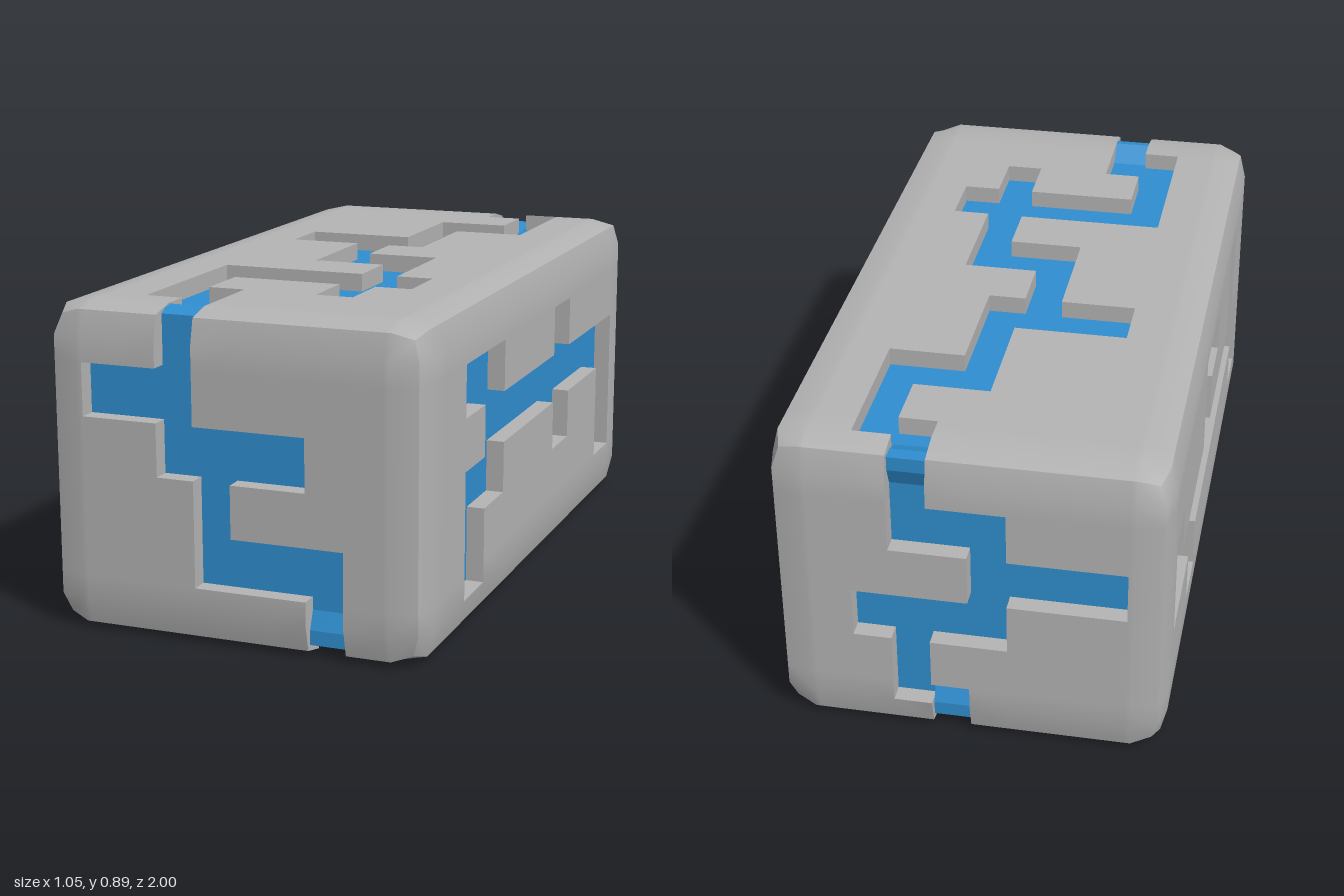
import * as THREE from 'three';
import { toCreasedNormals } from 'three/addons/utils/BufferGeometryUtils.js';

const HALF = [0.525, 0.445, 1];
const MID = [0, 0.445, 0];
const BEVEL = 0.09, DROP = 0.0175, DEPTH = 0.05;

// Grid lines along each axis, where the channels may turn
const mirror = (list, mid) => [...list.map(v => mid - v).reverse(), mid, ...list.map(v => mid + v)];
const LINES = [
  mirror([0.104, 0.208, 0.312, 0.42, 0.435, 0.525], 0),
  mirror([0.145, 0.29, 0.355, 0.445], 0.445),
  mirror([0.165, 0.33, 0.5, 0.665, 0.83, 0.91, 1], 0),
];

// Channels per face as walks over grid cells: start u, start v, then the next v, u, v, u...
const FACES = [
  { axis: 2, sign: 1, walks: [[4, 7, 4, 5, 2, 8, 0], [2, 5, 5, 4], [4, 4, 4, 7]] },
  { axis: 2, sign: -1, walks: [[7, 7, 5, 5, 3, 7, 1, 6, 0], [2, 4, 4, 5], [7, 3, 3, 8]] },
  { axis: 0, sign: 1, walks: [[10, 5, 5, 9, 3, 10, 1], [9, 4, 4, 2, 2], [5, 5, 3]] },
  { axis: 0, sign: -1, walks: [[2, 4, 3, 11, 2], [6, 3, 5, 7], [10, 3, 5], [4, 3, 2]] },
  { axis: 1, sign: 1, walks: [
    [7, 0, 1, 8, 3, 6, 5, 5, 7, 7, 9, 3, 11, 4, 13], [3, 5, 5, 5], [7, 9, 9, 8], [7, 9, 10]] },
  { axis: 1, sign: -1, walks: [
    [6, 0, 3, 5, 6, 6, 12, 8, 13], [4, 3, 3, 8], [5, 6, 6, 8], [6, 10, 10, 9]] },
];

// Collects every cell a face's walks pass through
function cutCells(walks) {
  const cells = new Set();
  for (const [u, v, ...stops] of walks) {
    const pos = [u, v];
    cells.add(pos.join());
    stops.forEach((target, k) => {
      const dir = k % 2 ? 0 : 1;
      while (pos[dir] !== target) {
        pos[dir] += Math.sign(target - pos[dir]);
        cells.add(pos.join());
      }
    });
  }
  return cells;
}

// Softened surface: every side slopes gently towards its edges
function surfacePoint(p) {
  const d = p.map((v, i) => v - MID[i]);
  const a = d.map((v, i) => Math.max(0, (Math.abs(v) - HALF[i] + BEVEL) / BEVEL));
  const sum = a[0] + a[1] + a[2];
  return p.map((v, i) => v - Math.sign(d[i]) * DROP * a[i] * (sum - a[i]));
}

// Channel floor: the sharp box shrunk by the channel depth
function floorPoint(p) {
  return p.map((v, i) =>
    MID[i] + THREE.MathUtils.clamp(v - MID[i], DEPTH - HALF[i], HALF[i] - DEPTH));
}

// Adds a quad turned to face the given direction
function quad(out, corners, facing) {
  const [a, b, c, d] = corners.map(p => new THREE.Vector3(...p));
  const n = c.clone().sub(a).cross(d.clone().sub(b));
  const order = n.dot(new THREE.Vector3(...facing)) >= 0 ? [a, b, c, a, c, d] : [a, c, b, a, d, c];
  order.forEach(p => out.push(p.x, p.y, p.z));
}

function meshFrom(points, material, name) {
  const g = new THREE.BufferGeometry();
  g.setAttribute('position', new THREE.Float32BufferAttribute(points, 3));
  const mesh = new THREE.Mesh(toCreasedNormals(g, 0.6), material);
  mesh.name = name;
  return mesh;
}

function addFace({ axis, sign, walks }, shell, floor) {
  const u = axis === 0 ? 2 : 0, v = axis === 1 ? 2 : 1;
  const us = LINES[u], vs = LINES[v], cut = cutCells(walks);
  const at = (i, j) => {
    const p = [0, 0, 0];
    p[axis] = MID[axis] + sign * HALF[axis];
    p[u] = us[i];
    p[v] = vs[j];
    return p;
  };
  const isCut = (i, j) => cut.has([i, j].join());
  const inside = (i, j) => i >= 0 && j >= 0 && i < us.length - 1 && j < vs.length - 1;
  const out = [0, 0, 0];
  out[axis] = sign;

  for (let i = 0; i < us.length - 1; i++) {
    for (let j = 0; j < vs.length - 1; j++) {
      const cell = [at(i, j), at(i + 1, j), at(i + 1, j + 1), at(i, j + 1)];
      if (!isCut(i, j)) {
        quad(shell, cell.map(surfacePoint), out);
        continue;
      }
      quad(floor, cell.map(floorPoint), out);
      // Channel walls towards uncut neighbours
      [[0, -1], [1, 0], [0, 1], [-1, 0]].forEach(([di, dj], k) => {
        if (!inside(i + di, j + dj) || isCut(i + di, j + dj)) return;
        const p = cell[k], q = cell[(k + 1) % 4], facing = [0, 0, 0];
        facing[u] = -di;
        facing[v] = -dj;
        quad(shell, [surfacePoint(p), surfacePoint(q), floorPoint(q), floorPoint(p)], facing);
      });
    }
  }
}

// Raised piece where a channel crosses an edge; profile is [inset z, inset y]
function edgeBridge(x0, x1, sy, sz, profile, material) {
  const pts = [...profile, [0.1, 0.1]].map(([dz, dy]) =>
    new THREE.Vector2(sz * (HALF[2] - dz), MID[1] + sy * (HALF[1] - dy)));
  const g = new THREE.ExtrudeGeometry(new THREE.Shape(pts), { depth: x1 - x0, bevelEnabled: false });
  g.rotateY(-Math.PI / 2).translate(x1, 0, 0);
  const mesh = new THREE.Mesh(g, material);
  mesh.name = 'channelEdgeBridge';
  return mesh;
}

export function createModel() {
  const grey = new THREE.MeshStandardMaterial({ color: 0xb4b4b4 });
  grey.name = 'stone grey';
  const blue = new THREE.MeshStandardMaterial({ color: 0x2f8fd0 });
  blue.name = 'channel blue';

  const shell = [], floor = [];
  FACES.forEach(face => addFace(face, shell, floor));

  const group = new THREE.Group();
  group.name = 'channelledBlock';
  group.add(meshFrom(shell, grey, 'blockShell'), meshFrom(floor, blue, 'channelFloor'));

  // Channel crossings at the four long-way edges
  const high = [[0.15, 0.05], [0.1, 0.003], [0.07, 0.008], [0.05, 0.02], [0.05, 0.06]];
  const low = [[0.12, 0.05], [0.07, 0.03], [0.03, 0.03], [0.03, 0.07], [0.05, 0.12]];
  group.add(
    edgeBridge(-0.208, -0.104, 1, 1, high, blue),
    edgeBridge(0.104, 0.208, 1, -1, low, blue),
    edgeBridge(0.208, 0.312, -1, 1, low, blue),
    edgeBridge(0, 0.104, -1, -1, low, blue),
  );
  return group;
}
